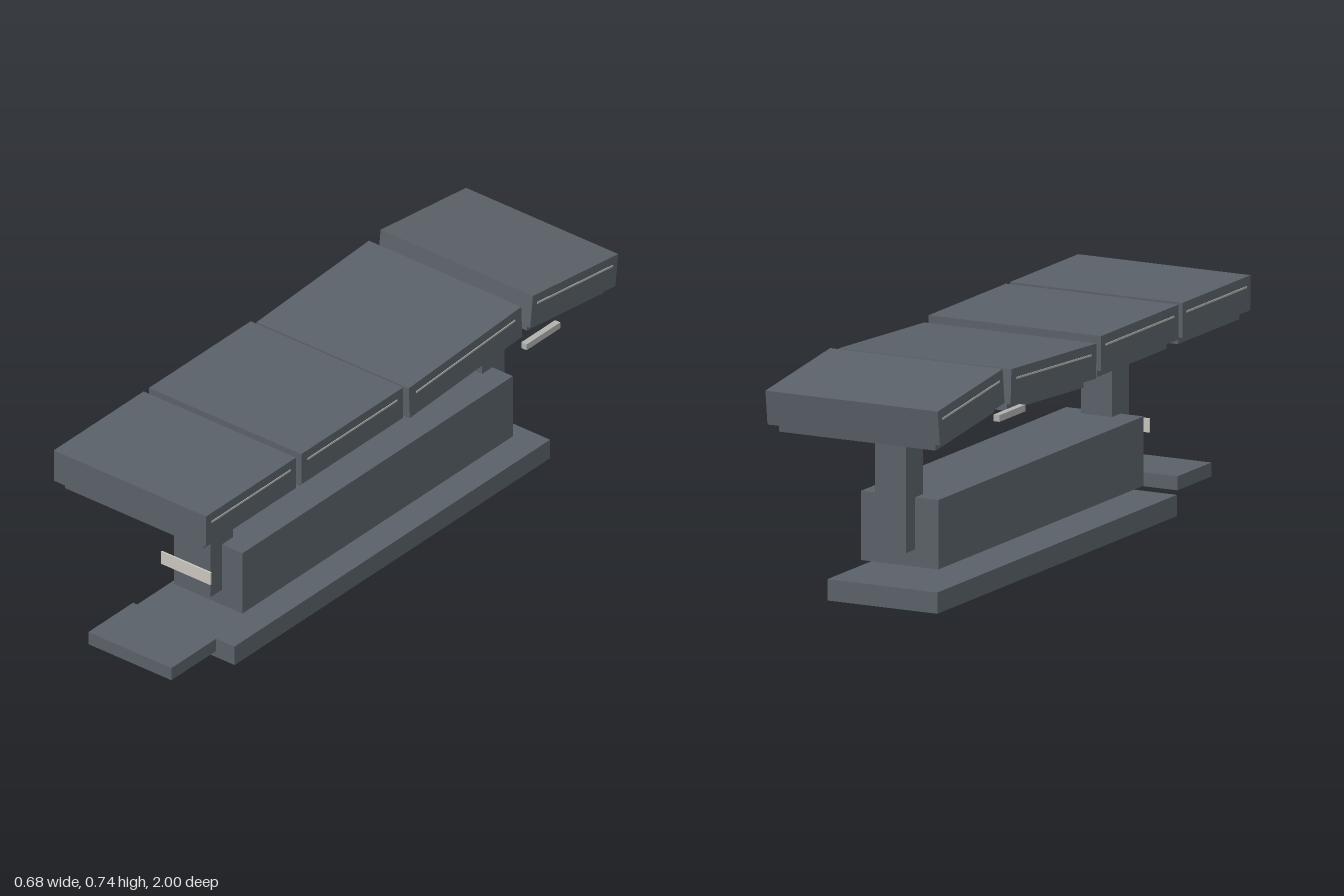
import * as THREE from 'three';

export function createModel() {
  const model = new THREE.Group();
  model.name = 'operatingTable';

  const mat = (name, color) => {
    const m = new THREE.MeshStandardMaterial({ color });
    m.name = name;
    return m;
  };
  const slate = mat('slate grey', 0x5a6168);
  const steel = mat('pale steel', 0xb0b2ae);
  const ivory = mat('warm light grey', 0xc9c6be);

  // box placed by its centre
  const box = (parent, name, material, size, pos) => {
    const mesh = new THREE.Mesh(new THREE.BoxGeometry(...size), material);
    mesh.name = name;
    mesh.position.set(...pos);
    parent.add(mesh);
    return mesh;
  };
  // box given by its half width and its y and z limits
  const block = (name, material, hx, y0, y1, z0, z1) =>
    box(model, name, material, [hx * 2, y1 - y0, z1 - z0], [0, (y0 + y1) / 2, (z0 + z1) / 2]);

  // pedestal
  block('base', slate, 0.192, 0, 0.067, -0.803, 0.728);
  block('footPlate', slate, 0.164, 0.067, 0.111, 0.783, 1.0);
  block('body', slate, 0.135, 0.111, 0.329, -0.692, 0.62);
  block('frontColumn', slate, 0.054, 0.165, 0.58, 0.565, 0.675);
  block('rearColumn', slate, 0.054, 0.165, 0.6, -0.75, -0.642);
  block('frontPanel', ivory, 0.098, 0.253, 0.297, 0.724, 0.73);

  // table sections: cushion, tray below and a rail line on each side
  const section = (name, z, y, length, tilt) => {
    const g = new THREE.Group();
    g.name = name;
    g.position.set(0, y, z);
    g.rotation.x = tilt;
    box(g, 'cushion', slate, [0.602, 0.11, length], [0, 0, 0]);
    box(g, 'tray', slate, [0.547, 0.028, length * 0.9], [0, -0.068, 0]);
    for (const s of [-1, 1]) {
      box(g, 'sideRail', steel, [0.006, 0.006, length * 0.88], [s * 0.3005, 0.023, 0]);
    }
    model.add(g);
  };
  section('legSection', 0.782, 0.66, 0.436, 0);
  section('seatSection', 0.291, 0.66, 0.494, 0);
  section('backSection', -0.259, 0.657, 0.546, 0.052);
  section('headSection', -0.786, 0.658, 0.417, -0.122);

  // free-standing side handles
  for (const s of [-1, 1]) {
    box(model, s > 0 ? 'leftHandle' : 'rightHandle', steel,
      [0.021, 0.021, 0.164], [s * 0.328, 0.604, -0.591]);
  }

  return model;
}
